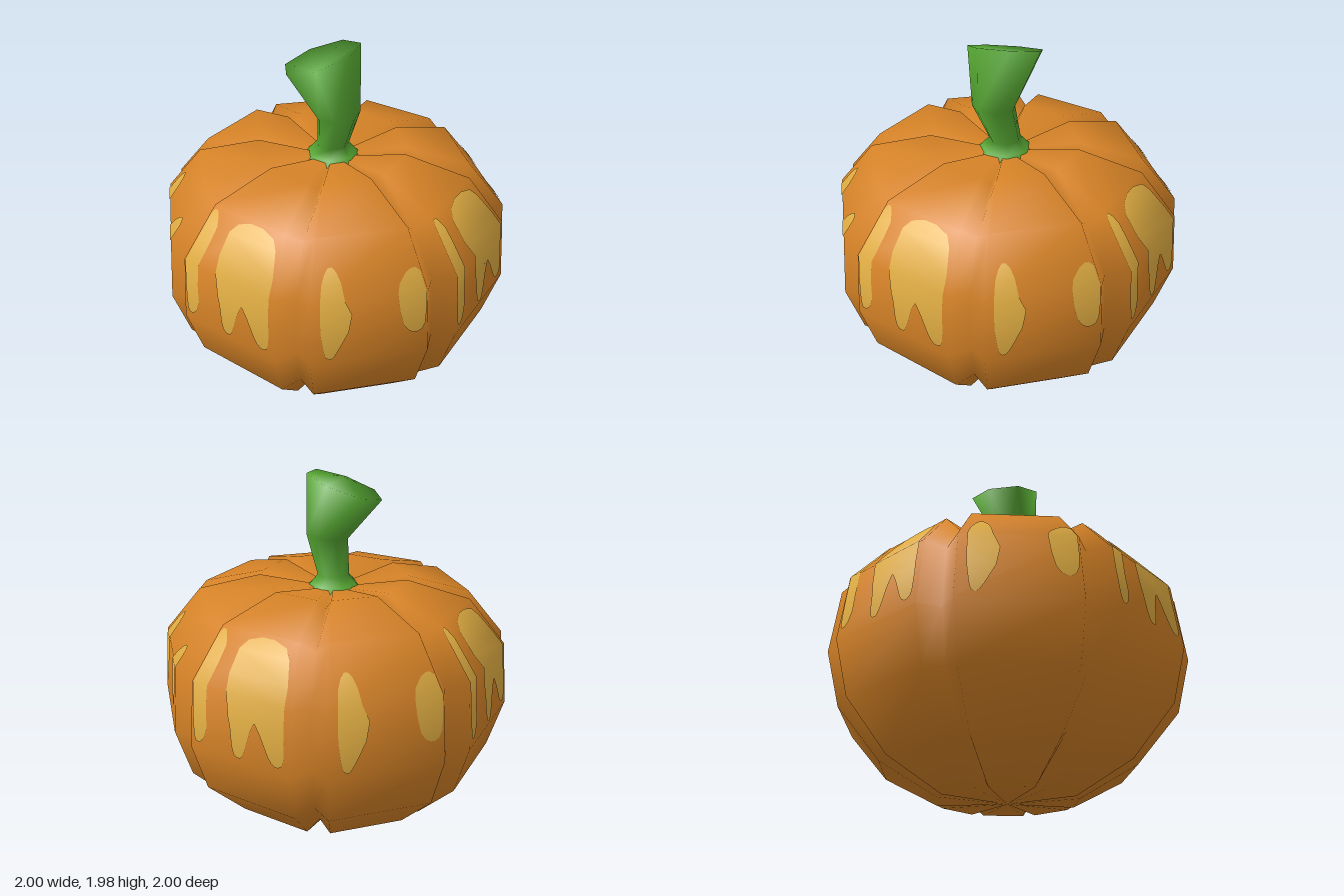
import * as THREE from 'three';

const DEG = Math.PI / 180;
const LOBES = 8;
const CORNER = 5.2 * DEG; // angle between a groove and the lobe corner

// Profile rows: lobe radius, lobe height, groove radius, groove height
const PROFILE = [
  [0.385, 0.01, 0.34, 0.06],
  [0.695, 0.17, 0.64, 0.22],
  [0.925, 0.43, 0.855, 0.455],
  [1.004, 0.72, 0.92, 0.72],
  [0.965, 1.08, 0.885, 1.06],
  [0.76, 1.325, 0.71, 1.26],
  [0.415, 1.41, 0.37, 1.345],
];

// Yellow streaks as strips of rows: height, start and end across a lobe (0 = inner corner, 1 = outer)
const LEFT_STREAKS = [
  [[1.31, 0.3, 0.45], [1.29, 0.14, 0.6], [1.25, 0.085, 0.67], [1.15, 0.05, 0.67],
    [1.08, 0.05, 0.63], [0.95, 0.06, 0.61]],
  [[0.95, 0.35, 0.61], [0.9, 0.39, 0.59], [0.8, 0.435, 0.57], [0.76, 0.46, 0.55], [0.745, 0.48, 0.52]],
  [[0.95, 0.06, 0.34], [0.9, 0.055, 0.29], [0.8, 0.06, 0.21], [0.775, 0.075, 0.18], [0.76, 0.11, 0.14]],
  [[1.31, 0.92, 0.96], [1.29, 0.88, 0.98], [1.25, 0.83, 0.98], [1.18, 0.825, 0.98], [1.08, 0.83, 0.98],
    [0.95, 0.84, 0.98], [0.85, 0.83, 0.97], [0.79, 0.86, 0.96], [0.765, 0.9, 0.94]],
];
const RIGHT_STREAKS = [
  [[1.21, 0.14, 0.18], [1.19, 0.11, 0.22], [1.15, 0.085, 0.26], [1.08, 0.08, 0.29], [1, 0.08, 0.35],
    [0.9, 0.085, 0.32], [0.8, 0.11, 0.235], [0.765, 0.125, 0.2], [0.75, 0.15, 0.175]],
  [[1.175, 0.91, 0.95], [1.16, 0.85, 0.985], [1.12, 0.77, 0.985], [1.08, 0.74, 0.985], [0.98, 0.76, 0.985],
    [0.9, 0.79, 0.975], [0.865, 0.83, 0.95], [0.85, 0.87, 0.91]],
];

function makeGeometry(positions, index, normals) {
  const g = new THREE.BufferGeometry();
  g.setAttribute('position', new THREE.Float32BufferAttribute(positions, 3));
  g.setIndex(index);
  if (normals) g.setAttribute('normal', new THREE.Float32BufferAttribute(normals, 3));
  else g.computeVertexNormals();
  return g;
}

// Side faces between consecutive closed rings of n points
function joinRings(index, rings, n) {
  for (let j = 0; j < rings - 1; j++) {
    for (let i = 0; i < n; i++) {
      const a = j * n + i, b = j * n + (i + 1) % n;
      index.push(a, b, b + n, a, b + n, a + n);
    }
  }
}

// Ribbed body: each lobe has a groove and two corners per ring
function bodyGeometry() {
  const pos = [], index = [], n = LOBES * 3;
  const put = (r, y, a) => pos.push(r * Math.sin(a), y, r * Math.cos(a));
  for (const [r, y, gr, gy] of PROFILE) {
    for (let k = 0; k < LOBES; k++) {
      put(gr, gy, k * 45 * DEG);
      put(r, y, k * 45 * DEG + CORNER);
      put(r, y, (k + 1) * 45 * DEG - CORNER);
    }
  }
  joinRings(index, PROFILE.length, n);
  const bottom = PROFILE.length * n, last = bottom - n;
  pos.push(0, 0, 0, 0, 1.34, 0);
  for (let i = 0; i < n; i++) {
    const next = (i + 1) % n;
    index.push(bottom, next, i, bottom + 1, last + i, last + next);
  }
  return makeGeometry(pos, index);
}

// A streak lying just above the flat of one lobe, sharing the body's smooth normals
function streakGeometry(body, rows, lobe, mirrored) {
  const pos = [], nor = [], index = [];
  const sample = (name, row, t, u) => {
    const at = (ring, c) => new THREE.Vector3().fromBufferAttribute(
      body.attributes[name], ring * LOBES * 3 + lobe * 3 + c);
    return at(row, 1).lerp(at(row, 2), u).lerp(at(row + 1, 1).lerp(at(row + 1, 2), u), t);
  };
  rows.forEach(([y, u0, u1], i) => {
    const row = y >= 1.08 ? 4 : 3;
    const t = (y - PROFILE[row][1]) / (PROFILE[row + 1][1] - PROFILE[row][1]);
    for (const u of mirrored ? [1 - u1, 1 - u0] : [u0, u1]) {
      const normal = sample('normal', row, t, u).normalize();
      pos.push(...sample('position', row, t, u).addScaledVector(normal, 0.005));
      nor.push(...normal);
    }
    if (i > 0) {
      const a = 2 * i - 2;
      index.push(a, a + 2, a + 3, a, a + 3, a + 1);
    }
  });
  return makeGeometry(pos, index, nor);
}

// Seven-sided stem: flared foot, bent neck, wide slanted cut
function stemGeometry() {
  const n = 7, pos = [], index = [];
  // centre x, height, centre z, radius, slant
  const rings = [
    [0, 1.325, 0, 0.185, 0],
    [0, 1.375, 0, 0.13, 0],
    [0, 1.42, 0, 0.09, 0],
    [0.04, 1.625, 0.053, 0.118, 0.1],
    [-0.06, 1.915, 0.005, 0.205, 0.346],
  ];
  for (const [cx, y, cz, r, slant] of rings) {
    for (let i = 0; i < n; i++) {
      const a = 4 * DEG + (i / n) * Math.PI * 2, dx = r * Math.sin(a);
      pos.push(cx + dx, y + slant * dx, cz + r * Math.cos(a));
    }
  }
  joinRings(index, rings.length, n);
  const top = (rings.length - 1) * n;
  for (let i = 1; i < n - 1; i++) index.push(top, top + i, top + i + 1);
  return makeGeometry(pos, index);
}

export function createModel() {
  const material = (name, color) => {
    const m = new THREE.MeshStandardMaterial({ color });
    m.name = name;
    return m;
  };
  const orange = material('orange skin', 0xd58226);
  const yellow = material('yellow streak', 0xdfac42);
  const green = material('green stem', 0x55a532);

  const model = new THREE.Group();
  model.name = 'pumpkin';
  const add = (parent, name, geometry, mat) => {
    const mesh = new THREE.Mesh(geometry, mat);
    mesh.name = name;
    parent.add(mesh);
  };

  const body = bodyGeometry();
  add(model, 'body', body, orange);
  add(model, 'stem', stemGeometry(), green);

  // The streaks of two neighbouring lobes repeat on all four sides
  for (let q = 0; q < 4; q++) {
    const side = new THREE.Group();
    side.name = 'streaks' + (q + 1);
    side.rotation.y = q * Math.PI / 2;
    for (const rows of RIGHT_STREAKS) add(side, 'streak', streakGeometry(body, rows, 0, false), yellow);
    for (const rows of LEFT_STREAKS) add(side, 'streak', streakGeometry(body, rows, LOBES - 1, true), yellow);
    model.add(side);
  }
  return model;
}
